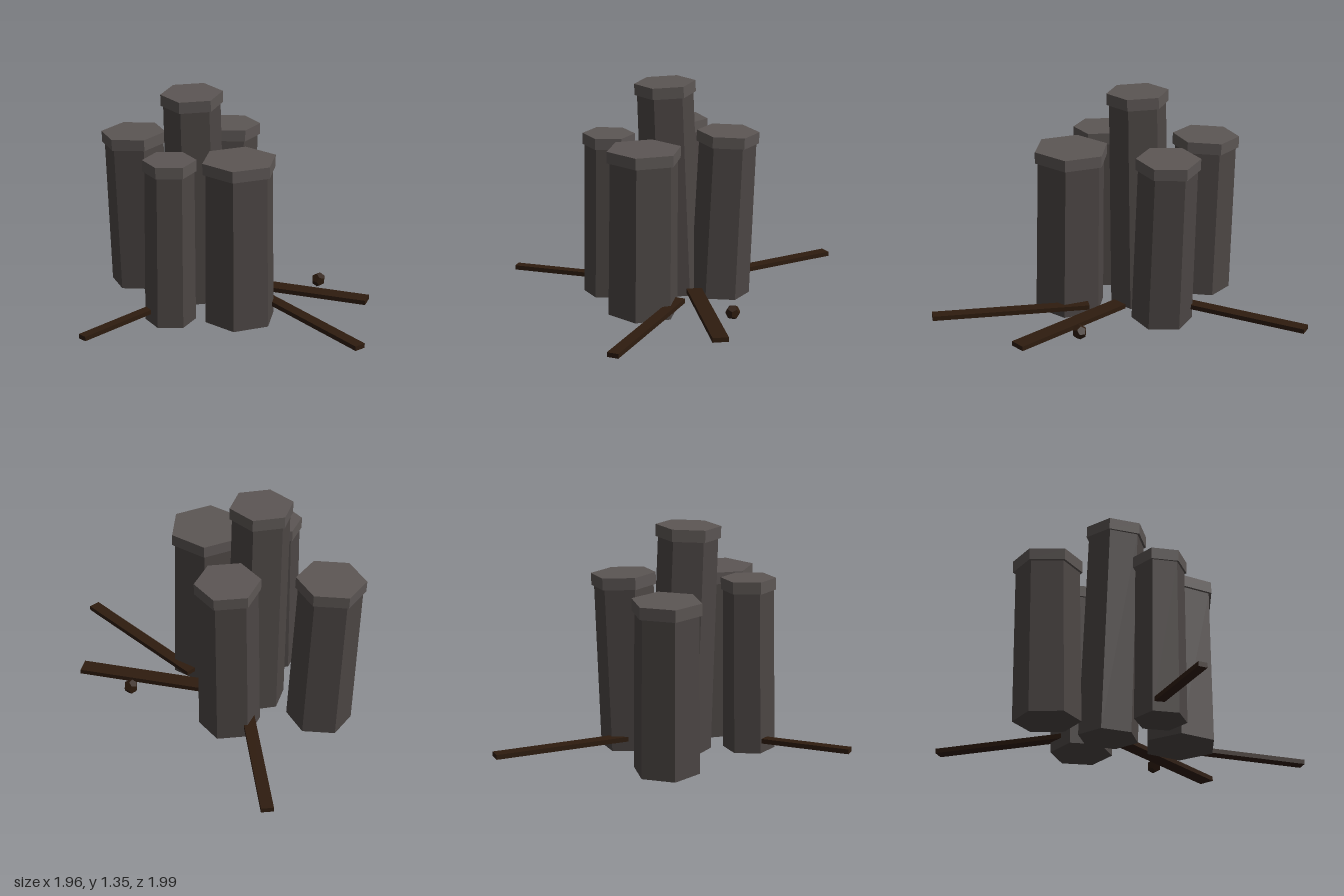
import * as THREE from 'three';

const mat = (color) => new THREE.MeshStandardMaterial({ color, flatShading: true, roughness: 0.95 });
const UP = new THREE.Vector3(0, 1, 0);

export function createModel() {
  const model = new THREE.Group();
  const shaftMat = mat(0x4c4644), capMat = mat(0x5c5654), woodMat = mat(0x2e1c0f);
  const capHeight = 0.07;

  // Hexagonal stone column leaning from its base centre to its top centre
  function column(name, base, top, radius, turn) {
    const a = new THREE.Vector3(...base);
    const axis = new THREE.Vector3(...top).sub(a);
    const length = axis.length();
    const shaftLength = length - capHeight;
    const shaft = new THREE.Mesh(
      new THREE.CylinderGeometry(radius * 0.92, radius * 0.96, shaftLength, 6)
        .rotateY(turn).translate(0, shaftLength / 2, 0), shaftMat);
    shaft.name = 'shaft';
    const cap = new THREE.Mesh(
      new THREE.CylinderGeometry(radius, radius, capHeight, 6)
        .rotateY(turn).translate(0, length - capHeight / 2, 0), capMat);
    cap.name = 'cap';
    const group = new THREE.Group();
    group.name = name;
    group.add(shaft, cap);
    group.position.copy(a);
    group.quaternion.setFromUnitVectors(UP, axis.normalize());
    model.add(group);
  }

  column('centreColumn', [0.04, 0.01, -0.325], [-0.01, 1.345, -0.315], 0.188, -0.24);
  column('frontColumn', [-0.07, 0.012, 0.1], [-0.065, 1.03, 0.09], 0.23, -0.03);
  column('smallColumn', [-0.35, 0.012, -0.215], [-0.34, 1.035, -0.215], 0.16, -0.35);
  column('rightColumn', [0.34, 0.012, -0.33], [0.38, 1.05, -0.335], 0.191, -0.37);
  column('backColumn', [0, 0.01, -0.75], [-0.015, 1.005, -0.785], 0.203, Math.PI / 6);

  // Flat timbers scattered around the columns: x, z of both ends, width
  const planks = [
    [0.15, 0.07, -0.08, 0.987, 0.07],
    [0.21, -0.11, 0.48, 0.66, 0.095],
    [0.3, -0.43, 0.955, -0.97, 0.073],
    [-0.3, -0.275, -0.98, -0.355, 0.056],
  ];
  planks.forEach(([x0, z0, x1, z1, width], i) => {
    const dx = x1 - x0, dz = z1 - z0;
    const plank = new THREE.Mesh(new THREE.BoxGeometry(width, 0.028, Math.hypot(dx, dz)), woodMat);
    plank.name = `plank${i + 1}`;
    plank.position.set((x0 + x1) / 2, 0.085, (z0 + z1) / 2);
    plank.rotation.y = Math.atan2(dx, dz);
    model.add(plank);
  });

  // Loose pebble
  const pebble = new THREE.Mesh(new THREE.DodecahedronGeometry(0.045), woodMat);
  pebble.name = 'pebble';
  pebble.position.set(0.5, 0.11, 0.28);
  model.add(pebble);

  return model;
}
